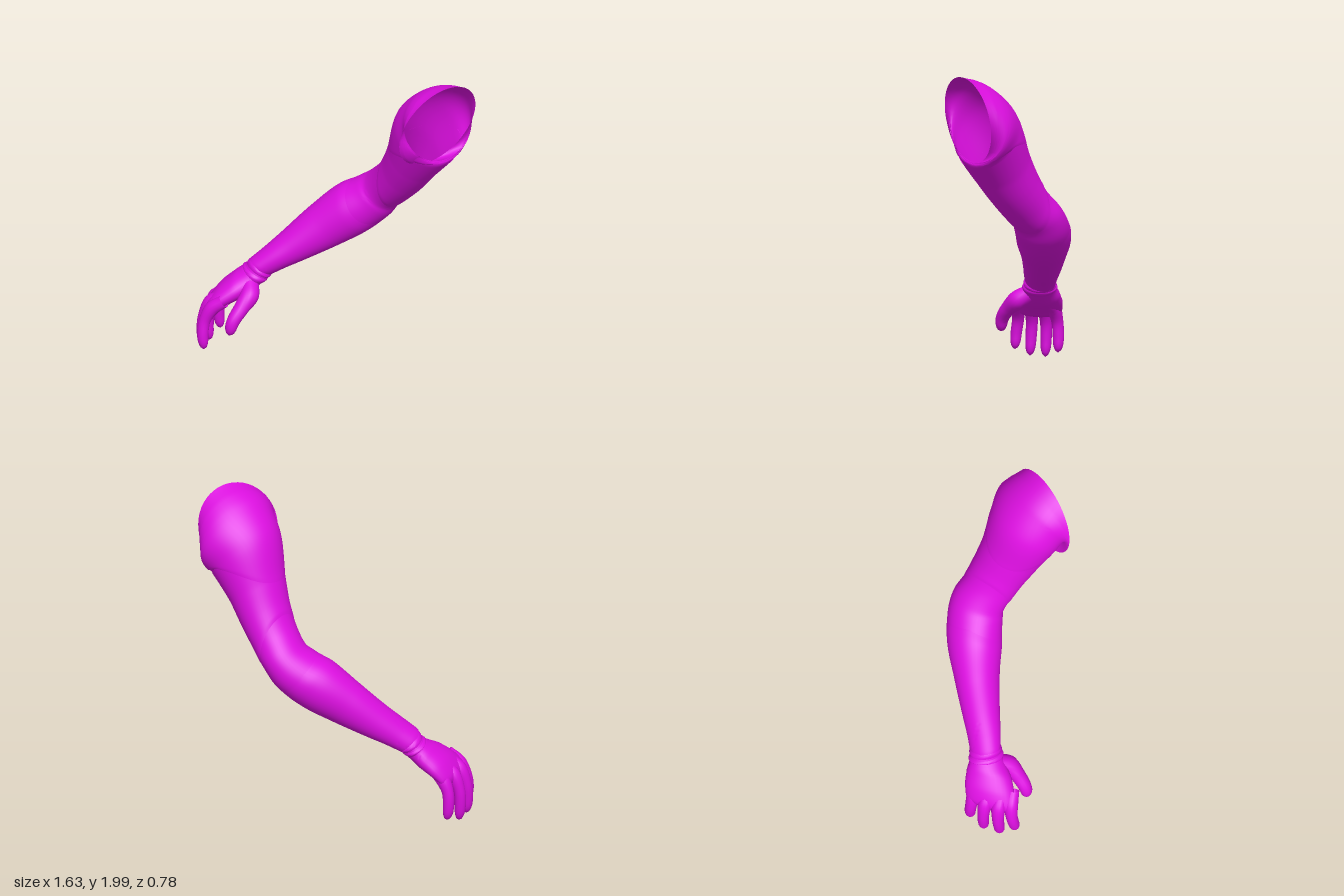
import * as THREE from 'three';
import { toCreasedNormals } from 'three/addons/utils/BufferGeometryUtils.js';

const V = (x, y, z = 0) => new THREE.Vector3(x, y, z);

// Turns [centre, outward half-axis (x, y), sideways half-width or vector] into smooth section curves
function sections(rows) {
  const c = rows.map(r => V(...r[0]));
  const u = rows.map(r => V(...r[1]));
  const v = rows.map((r, i) => {
    if (Array.isArray(r[2])) return V(...r[2]);
    const t = c[Math.min(i + 1, c.length - 1)].clone().sub(c[Math.max(i - 1, 0)]);
    return u[i].clone().cross(t).setLength(r[2]);
  });
  const curves = [c, u, v].map(p => new THREE.CatmullRomCurve3(p, false, 'centripetal'));
  const last = rows.length - 1;
  return k => curves.map(q => q.getPoint(THREE.MathUtils.clamp(k / last, 0, 1)));
}

// Skin over the sections; start and end may vary around the limb, scale varies along it
function loft(at, start, end, scale, rows = 40, sides = 40) {
  const pos = [], idx = [];
  for (let j = 0; j <= rows; j++) {
    for (let i = 0; i < sides; i++) {
      const a = (i / sides) * Math.PI * 2, s = j / rows;
      const [c, u, v] = at(THREE.MathUtils.lerp(start(a), end(a), s));
      const p = c.addScaledVector(u, Math.cos(a) * scale(s)).addScaledVector(v, Math.sin(a) * scale(s));
      pos.push(p.x, p.y, p.z);
      if (j < rows) {
        const n = (i + 1) % sides, b = j * sides;
        idx.push(b + i, b + sides + i, b + n, b + n, b + sides + i, b + sides + n);
      }
    }
  }
  const g = new THREE.BufferGeometry();
  g.setAttribute('position', new THREE.Float32BufferAttribute(pos, 3));
  g.setIndex(idx);
  return toCreasedNormals(g, 0.9);
}

// Rounded ends: scale falls off as a circle arc close to the tip
const roundTip = len => s => (s < 1 - len ? 1 : Math.max(0.01, Math.sqrt(Math.max(0, 1 - ((s - 1 + len) / len) ** 2))));
// Raised panel whose edges tuck under
const panel = (k, head, tail) => s => {
  const ramp = Math.min(head ? s / head : 1, tail ? (1 - s) / tail : 1, 1);
  return 0.985 + (k - 0.985) * ramp;
};

export function createModel() {
  const model = new THREE.Group();
  const magenta = new THREE.MeshStandardMaterial({ color: 0xdb0fdf, side: THREE.DoubleSide });
  magenta.name = 'magenta';
  const add = (name, geometry, parent = model) => {
    const m = new THREE.Mesh(geometry, magenta);
    m.name = name;
    parent.add(m);
    return m;
  };

  // Arm from the open shoulder rim (0) to the wrist (12)
  const arm = sections([
    [[0.65, 1.725, 0.03], [0.07, 0.275], [-0.15, 0, 0.22]],
    [[0.625, 1.70, -0.03], [-0.07, 0.225], [-0.11, 0, 0.235]],
    [[0.545, 1.60, -0.06], [-0.15, 0.165], [-0.06, -0.03, 0.22]],
    [[0.445, 1.41, -0.105], [-0.135, 0.11], [-0.03, -0.03, 0.185]],
    [[0.365, 1.27, -0.15], [-0.115, 0.1], 0.17],
    [[0.28, 1.155, -0.19], [-0.1, 0.095], 0.16],
    [[0.2, 1.07, -0.225], [-0.1, 0.09], 0.165],
    [[0.13, 1.0, -0.22], [-0.11, 0.105], 0.17],
    [[0, 0.905, -0.175], [-0.1, 0.13], 0.165],
    [[-0.145, 0.79, -0.11], [-0.1, 0.105], 0.138],
    [[-0.31, 0.66, -0.025], [-0.08, 0.075], 0.115],
    [[-0.41, 0.585, 0.03], [-0.07, 0.055], 0.103],
    [[-0.49, 0.525, 0.07], [-0.062, 0.045], 0.094],
  ]);
  add('armCore', loft(arm, () => 0, () => 12, () => 0.985, 70, 48));
  add('shoulderCap', loft(arm, () => 0, a => 2.4 + 0.9 * Math.cos(a), panel(1.015, 0.15, 0.08), 40, 48));
  add('upperSleeve', loft(arm, () => 2, a => 5.2 - 0.8 * Math.cos(a), panel(1.005, 0, 0.06), 40, 48));
  add('forearmShell', loft(arm, a => 7.2 + 0.6 * Math.max(0, Math.sin(a)), () => 12, panel(1.005, 0.08, 0.03), 45, 48));

  // Hand: palm with wrist bands, four fingers and a thumb
  const hand = new THREE.Group();
  hand.name = 'hand';
  model.add(hand);
  const palm = sections([
    [[-0.47, 0.54, 0.06], [-0.06, 0.045], 0.088],
    [[-0.53, 0.475, 0.09], [-0.06, 0.045], [0.03, 0.01, 0.095]],
    [[-0.595, 0.42, 0.13], [-0.045, 0.06], [0.02, 0, 0.135]],
    [[-0.665, 0.365, 0.16], [-0.045, 0.05], [0.015, 0, 0.152]],
    [[-0.715, 0.31, 0.185], [-0.045, 0.03], [0.01, 0, 0.155]],
    [[-0.745, 0.255, 0.2], [-0.035, 0.01], [0.01, 0, 0.145]],
  ]);
  add('palm', loft(palm, () => 0, () => 5, roundTip(0.2), 30, 32), hand);
  [0.15, 0.6].forEach(k => add('wristBand',
    loft(palm, () => k, () => k + 0.35, s => 1 + 0.07 * Math.sin(s * Math.PI), 8, 32), hand));

  // Tapered digit through a few joints
  const digit = (name, joints, radii) => {
    const rows = joints.map((p, i) => {
      const a = joints[Math.max(i - 1, 0)], b = joints[Math.min(i + 1, joints.length - 1)];
      const side = V(b[1] - a[1], a[0] - b[0]).setLength(radii[i]);
      return [p, [side.x, side.y], radii[i]];
    });
    add(name, loft(sections(rows), () => 0, () => rows.length - 1, roundTip(0.16), 28, 16), hand);
  };
  // Knuckle z, tip z, x shift, tip height
  [
    ['indexFinger', 0.295, 0.348, 0.035, 0.045],
    ['middleFinger', 0.235, 0.265, -0.002, 0.005],
    ['ringFinger', 0.155, 0.165, -0.005, 0.005],
    ['littleFinger', 0.08, 0.068, 0.025, 0.045],
  ].forEach(([name, z0, z1, dx, tip]) => {
    const z = k => z0 + (z1 - z0) * k;
    digit(name, [
      [-0.665 + dx, 0.37, z(0)],
      [-0.735 + dx, 0.315, z(0.25)],
      [-0.775 + dx, 0.215 + tip * 0.4, z(0.6)],
      [-0.782 + dx, 0.11 + tip * 0.7, z(0.9)],
      [-0.772 + dx, tip, z(1)],
    ], [0.04, 0.044, 0.036, 0.034, 0.028]);
  });
  digit('thumb', [
    [-0.52, 0.455, 0.14], [-0.495, 0.40, 0.22], [-0.52, 0.34, 0.29],
    [-0.55, 0.27, 0.345], [-0.568, 0.185, 0.365],
  ], [0.05, 0.058, 0.046, 0.04, 0.032]);

  return model;
}
